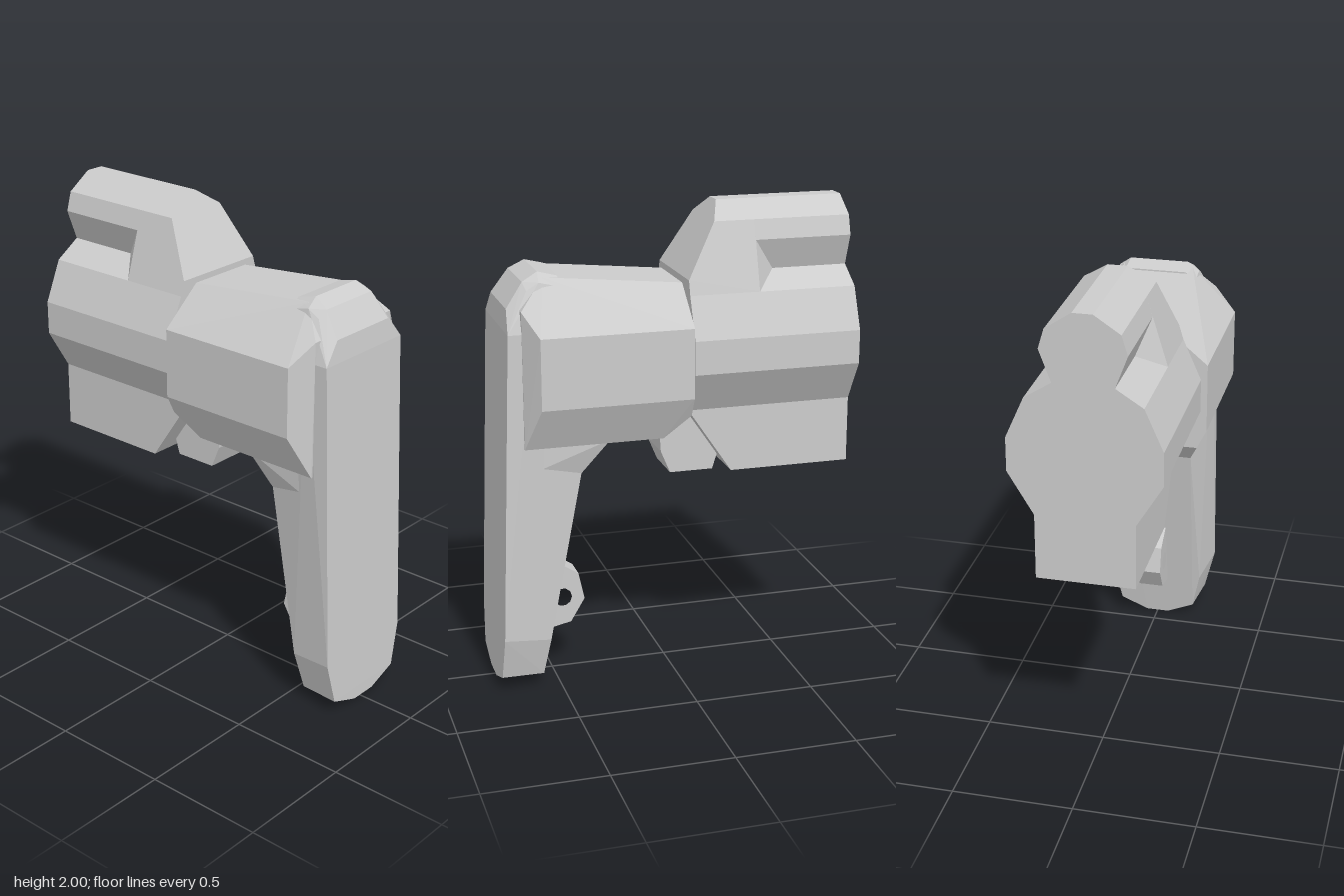
import * as THREE from 'three';
import { ConvexGeometry } from 'three/addons/geometries/ConvexGeometry.js';

const material = new THREE.MeshStandardMaterial({ color: 0xcccccc, flatShading: true });

function add(parent, name, geometry) {
  const mesh = new THREE.Mesh(geometry, material);
  mesh.name = name;
  parent.add(mesh);
  return mesh;
}

// Convex block from the corners of its +x half, mirrored to -x
function block(parent, name, half) {
  const points = half.flatMap(([x, y, z]) => [new THREE.Vector3(x, y, z), new THREE.Vector3(-x, y, z)]);
  return add(parent, name, new ConvexGeometry(points));
}

// Plate lying in the z-y plane, centred on x = 0
function plate(parent, name, outline, thickness, hole) {
  const shape = new THREE.Shape(outline.map(([z, y]) => new THREE.Vector2(-z, y)));
  if (hole) shape.holes.push(new THREE.Path().absarc(-hole[0], hole[1], hole[2], 0, Math.PI * 2, true));
  const geometry = new THREE.ExtrudeGeometry(shape, { depth: thickness, bevelEnabled: false, curveSegments: 5 });
  geometry.translate(0, 0, -thickness / 2).rotateY(Math.PI / 2);
  return add(parent, name, geometry);
}

const BACK = -0.75, FRONT = -0.045, NOTCH = -0.34, NOTCH_INNER = -0.43;
const span = (profile, z0, z1) => profile.flatMap(([x, y]) => [[x, y, z0], [x, y, z1]]);

export function createModel() {
  const model = new THREE.Group();
  model.name = 'model';

  // Rear housing: sloped crest, notched rail, wide middle and narrow keel
  const housing = new THREE.Group();
  housing.name = 'rearHousing';
  model.add(housing);
  block(housing, 'crestFront', [
    [0.04, 2, -0.21], [0.145, 1.93, -0.17], [0.212, 1.71, FRONT], [0.23, 1.65, FRONT],
    [0.04, 2, NOTCH], [0.145, 1.93, NOTCH], [0.169, 1.85, NOTCH], [0.23, 1.65, NOTCH],
    [0.12, 1.72, NOTCH_INNER],
  ]);
  block(housing, 'crestRail',
    span([[0.04, 2], [0.145, 1.93], [0.169, 1.85], [0.12, 1.72]], NOTCH, BACK)
      .map(([x, y, z]) => [x, y, y === 1.72 && z === NOTCH ? NOTCH_INNER : z]));
  block(housing, 'housingMiddle', [
    ...span([[0.23, 1.65], [0.305, 1.48], [0.305, 1.34], [0.2, 1.165]], FRONT, BACK),
    ...span([[0.12, 1.72]], NOTCH_INNER, BACK),
  ]);
  block(housing, 'keel', [
    [0.2, 1.17, FRONT], [0.2, 0.89, -0.235], [0.2, 1.17, BACK], [0.2, 0.89, BACK],
  ]);

  // Spindle joining the housing and the barrel
  const spindle = add(model, 'spindle', new THREE.CylinderGeometry(0.18, 0.18, 0.1, 8));
  spindle.rotation.x = Math.PI / 2;
  spindle.position.set(0, 1.445, -0.04);

  // Faceted barrel with a chamfered front and cut lower rear edge
  block(model, 'barrel', [
    [0.15, 1.69, -0.035], [0.33, 1.54, -0.035], [0.33, 1.25, -0.035], [0.29, 1.17, -0.035],
    [0.245, 1.07, 0.07], [0.245, 1.07, 0.645],
    [0.33, 1.25, 0.59], [0.33, 1.54, 0.59], [0.235, 1.63, 0.645], [0.15, 1.745, 0.54],
  ]);

  // Lever arm with its rounded tip, rear flare and bevelled cap
  const lever = new THREE.Group();
  lever.name = 'lever';
  model.add(lever);
  block(lever, 'leverArm', [
    [0.235, 1.54, 0.70], [0.235, 1.54, 0.6], [0.18, 0.93, 0.4],
    [0.24, 0.25, 0.747], [0.195, 0.068, 0.754], [0.06, 0.018, 0.755],
    [0.205, 0.22, 0.545], [0.17, 0.055, 0.572], [0.05, 0, 0.58],
  ]);
  block(lever, 'leverFlare', [
    [0.18, 0.93, 0.4], [0.2, 1.07, 0.28], [0.2, 1.12, 0.28],
    [0.23, 0.93, 0.71], [0.23, 1.12, 0.705],
  ]);
  block(lever, 'leverCap', [
    [0.235, 1.54, 0.70], [0.16, 1.63, 0.69], [0.14, 1.73, 0.62], [0.125, 1.765, 0.555], [0.13, 1.745, 0.475],
    [0.2, 1.62, 0.645], [0.175, 1.7, 0.61], [0.175, 1.73, 0.56], [0.175, 1.71, 0.475],
    [0.235, 1.54, 0.6], [0.175, 1.54, 0.475],
  ]);

  // Pierced lug on the back of the lever
  plate(lever, 'lug',
    [[0.48, 0.5], [0.39, 0.44], [0.365, 0.325], [0.425, 0.225], [0.54, 0.2], [0.6, 0.2], [0.56, 0.5]],
    0.11, [0.46, 0.34, 0.04]);

  // Stop tab below the joint
  plate(model, 'stopTab',
    [[0.05, 1.12], [0.04, 0.965], [0, 0.87], [-0.185, 0.87], [-0.21, 0.95], [-0.21, 1.2], [0.05, 1.2]], 0.2);

  return model;
}
